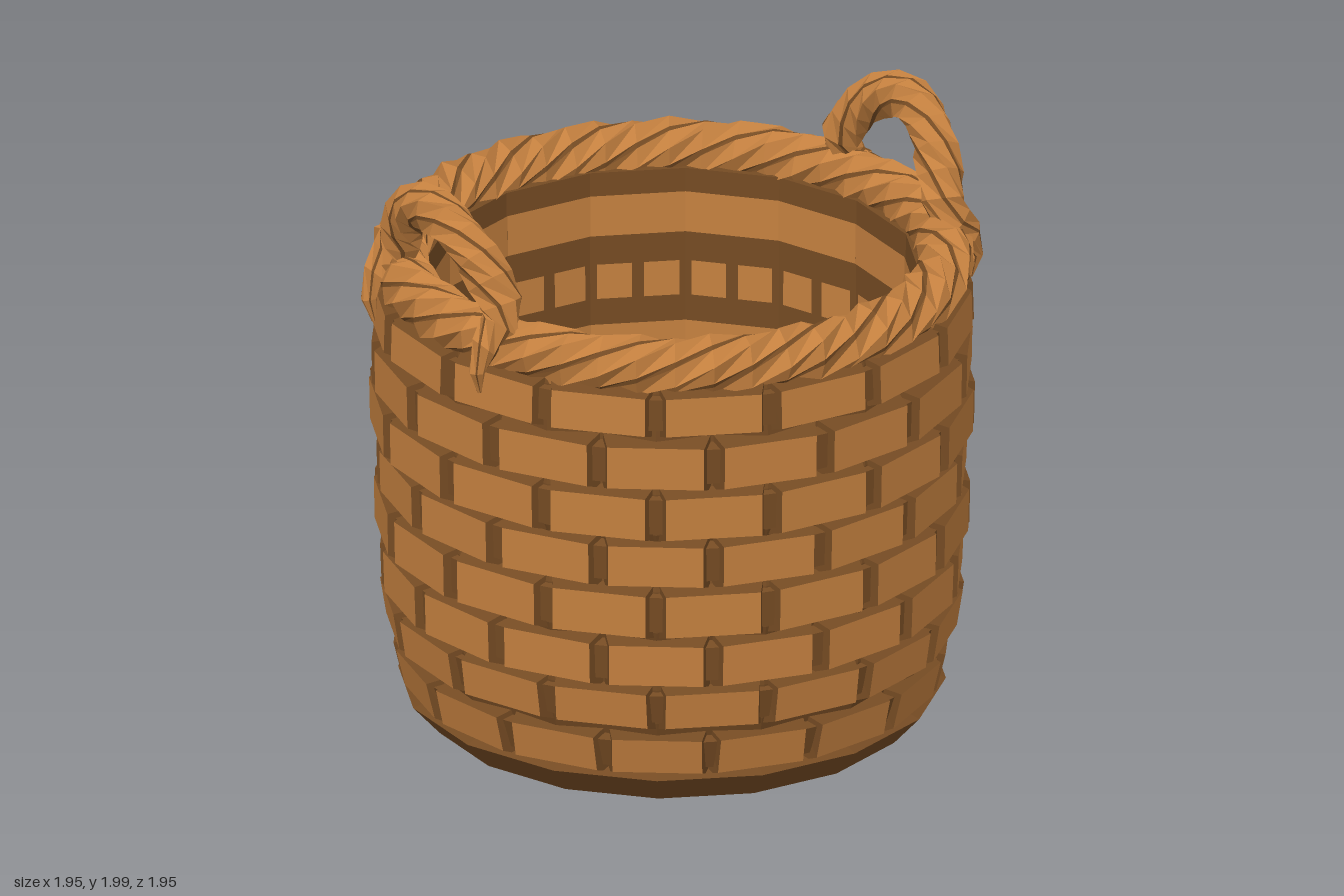
import * as THREE from 'three';

const STEP = Math.PI / 8; // sixteen sides all round

export function createModel() {
  const basket = new THREE.Group();
  basket.name = 'basket';
  const light = new THREE.MeshStandardMaterial({ color: 0xc4803f });
  light.name = 'light wicker';
  const dark = new THREE.MeshStandardMaterial({ color: 0x754b23 });
  dark.name = 'dark wicker';

  // Point at angle a (0 = front), distance r out, u sideways, height y
  const at = (a, r, u, y) => [
    r * Math.sin(a) + u * Math.cos(a), y, r * Math.cos(a) - u * Math.sin(a)];

  // Corners counter-clockwise as seen from outside
  const quad = (list, a, b, c, d) => list.push(...a, ...b, ...c, ...a, ...c, ...d);

  // Flat-faced mesh from a light and a dark list of triangles
  function addFaces(name, lightFaces, darkFaces, parent = basket) {
    const g = new THREE.BufferGeometry();
    const all = lightFaces.concat(darkFaces);
    g.setAttribute('position', new THREE.Float32BufferAttribute(all, 3));
    g.addGroup(0, lightFaces.length / 3, 0);
    g.addGroup(lightFaces.length / 3, darkFaces.length / 3, 1);
    g.computeVertexNormals();
    const mesh = new THREE.Mesh(g, [light, dark]);
    mesh.name = name;
    parent.add(mesh);
    return mesh;
  }

  // Bevelled block standing out from the wall
  function block(face, sides, a, y0, y1, r0, r1, w, bevel) {
    const rIn = Math.min(r0, r1) - 0.065, wi = w + bevel, e = 0.025;
    const f = [at(a, r0, -w, y0), at(a, r0, w, y0), at(a, r1, w, y1), at(a, r1, -w, y1)];
    const b = [at(a, rIn, -wi, y0 - e), at(a, rIn, wi, y0 - e),
      at(a, rIn, wi, y1 + e), at(a, rIn, -wi, y1 + e)];
    quad(face, ...f);
    for (let i = 0; i < 4; i++) {
      const j = (i + 1) % 4;
      quad(sides, b[i], b[j], f[j], f[i]);
    }
  }

  // Rows: bottom, top, radius at bottom, radius at top
  const rows = [
    [0.125, 0.25, 0.862, 0.892], [0.305, 0.43, 0.91, 0.93],
    [0.46, 0.6, 0.93, 0.935], [0.64, 0.785, 0.947, 0.95],
    [0.815, 0.955, 0.943, 0.947], [0.99, 1.135, 0.962, 0.965],
    [1.165, 1.31, 0.96, 0.963], [1.355, 1.485, 0.962, 0.958]];

  // Sixteen-sided body: underside, flared foot, outer wall, inner wall, floor
  const profile = [[0, 0.005], [0.795, 0.005], [0.885, 0.105]];
  for (const [y0, y1, r0, r1] of rows) {
    profile.push([r0 - 0.03, y0], [r1 - 0.03, y1]);
  }
  profile.push([0.92, 1.53], [0.8, 1.53], [0.785, 0.08], [0, 0.08]);
  const body = new THREE.LatheGeometry(
    profile.map(([x, y]) => new THREE.Vector2(x, y)), 16, STEP / 2).toNonIndexed();
  body.computeVertexNormals();
  const wall = new THREE.Mesh(body, dark);
  wall.name = 'basketWall';
  basket.add(wall);

  // Woven rows, each shifted half a block from the one below
  rows.forEach(([y0, y1, r0, r1], k) => {
    const face = [], sides = [];
    for (let i = 0; i < 16; i++) {
      const a = (i + (k % 2 ? 0 : 0.5)) * STEP;
      block(face, sides, a, y0, y1, r0, r1, r1 * 0.163, 0.018);
      // upright strand showing between blocks
      block(sides, sides, a + STEP / 2, y0 + 0.012, y1 - 0.012, r0 - 0.012, r1 - 0.012, 0.028, 0.01);
    }
    addFaces('wovenRow' + (k + 1), face, sides);
  });

  // Painted bands on the inner wall: broad rings and rows of small pieces
  const bands = [[1.31, 1.45, 1], [1.09, 1.21, 2], [0.86, 1.0, 1],
    [0.63, 0.75, 2], [0.4, 0.54, 1], [0.18, 0.3, 2]];
  const innerR = y => (0.785 + 0.015 * (y - 0.08) / 1.45) * Math.cos(STEP / 2) - 0.004;
  const painted = [];
  for (const [y0, y1, n] of bands) {
    for (let i = 0; i < 16; i++) {
      const half = innerR(y0) * Math.tan(STEP / 2), piece = 2 * half / n;
      for (let j = 0; j < n; j++) {
        const gap = n > 1 ? 0.02 : 0;
        const u0 = -half + j * piece + gap, u1 = -half + (j + 1) * piece - gap;
        const a = i * STEP;
        quad(painted, at(a, innerR(y0), u1, y0), at(a, innerR(y0), u0, y0),
          at(a, innerR(y1), u0, y1), at(a, innerR(y1), u1, y1));
      }
    }
  }
  addFaces('innerBands', painted, []);

  // Rings of twelve pieces on the floor and the underside
  const rings = [[0.68, 0.765, 0.018], [0.42, 0.53, 0.018], [0.22, 0.31, 0.028]];
  for (const [name, y, tilt] of [['floorRings', 0.084, -1], ['undersideRings', 0.001, 1]]) {
    const group = new THREE.Group();
    group.name = name;
    group.position.y = y;
    group.rotation.x = tilt * Math.PI / 2;
    for (const [r0, r1, gap] of rings) {
      const g = gap / r1;
      for (let i = 0; i < 12; i++) {
        const piece = new THREE.Mesh(new THREE.RingGeometry(
          r0, r1, 4, 1, i * Math.PI / 6 + g, Math.PI / 6 - 2 * g), light);
        piece.name = 'ringPiece';
        group.add(piece);
      }
    }
    basket.add(group);
  }

  // Four-strand twisted rope; dark grooves lie between the strands
  const section = [];
  for (let i = 0; i < 4; i++) {
    for (const [deg, r] of [[0, 0.93], [39, 1.06], [78, 0.93]]) {
      section.push([(i * 90 + deg) * Math.PI / 180, r]);
    }
  }
  function rope(name, frame, segs, turns, parent) {
    const lobes = [], grooves = [], loops = [];
    for (let i = 0; i <= segs; i++) {
      const { p, n, t, r } = frame(i / segs);
      const b = n.clone().cross(t).normalize();
      loops.push(section.map(([ang, k]) => {
        const phi = ang + turns * 2 * Math.PI * i / segs;
        return p.clone().addScaledVector(n, r * k * Math.cos(phi))
          .addScaledVector(b, r * k * Math.sin(phi)).toArray();
      }));
    }
    for (let i = 0; i < segs; i++) {
      for (let k = 0; k < 12; k++) {
        const m = (k + 1) % 12;
        quad(k % 3 === 2 ? grooves : lobes,
          loops[i][k], loops[i + 1][k], loops[i + 1][m], loops[i][m]);
      }
    }
    return addFaces(name, lobes, grooves, parent);
  }

  // Rim
  rope('rim', s => {
    const a = s * 2 * Math.PI;
    const n = new THREE.Vector3(Math.sin(a), 0, Math.cos(a));
    return {
      p: n.clone().multiplyScalar(0.882).setY(1.568), n,
      t: new THREE.Vector3(Math.cos(a), 0, -Math.sin(a)), r: 0.095,
    };
  }, 48, 5, basket);

  // Arched handles with tapered ends tucked over the rim
  const half = [[0.92, 1.42, 0.335], [0.93, 1.54, 0.345], [0.83, 1.66, 0.335],
    [0.845, 1.78, 0.27], [0.875, 1.885, 0.15]];
  const points = [...half, [0.89, 1.925, 0],
    ...half.slice().reverse().map(([x, y, z]) => [x, y, -z])];
  const path = new THREE.CatmullRomCurve3(points.map(p => new THREE.Vector3(...p)));
  for (const [name, turn] of [['leftHandle', 0], ['rightHandle', Math.PI]]) {
    const handle = rope(name, s => {
      const t = path.getTangentAt(s);
      const n = new THREE.Vector3(1, 0, 0);
      n.addScaledVector(t, -n.dot(t)).normalize();
      const end = Math.min(s, 1 - s);
      return { p: path.getPointAt(s), n, t, r: 0.075 * Math.min(1, 0.1 + end * 5) };
    }, 18, 1.5, basket);
    handle.rotation.y = turn;
  }
  return basket;
}
